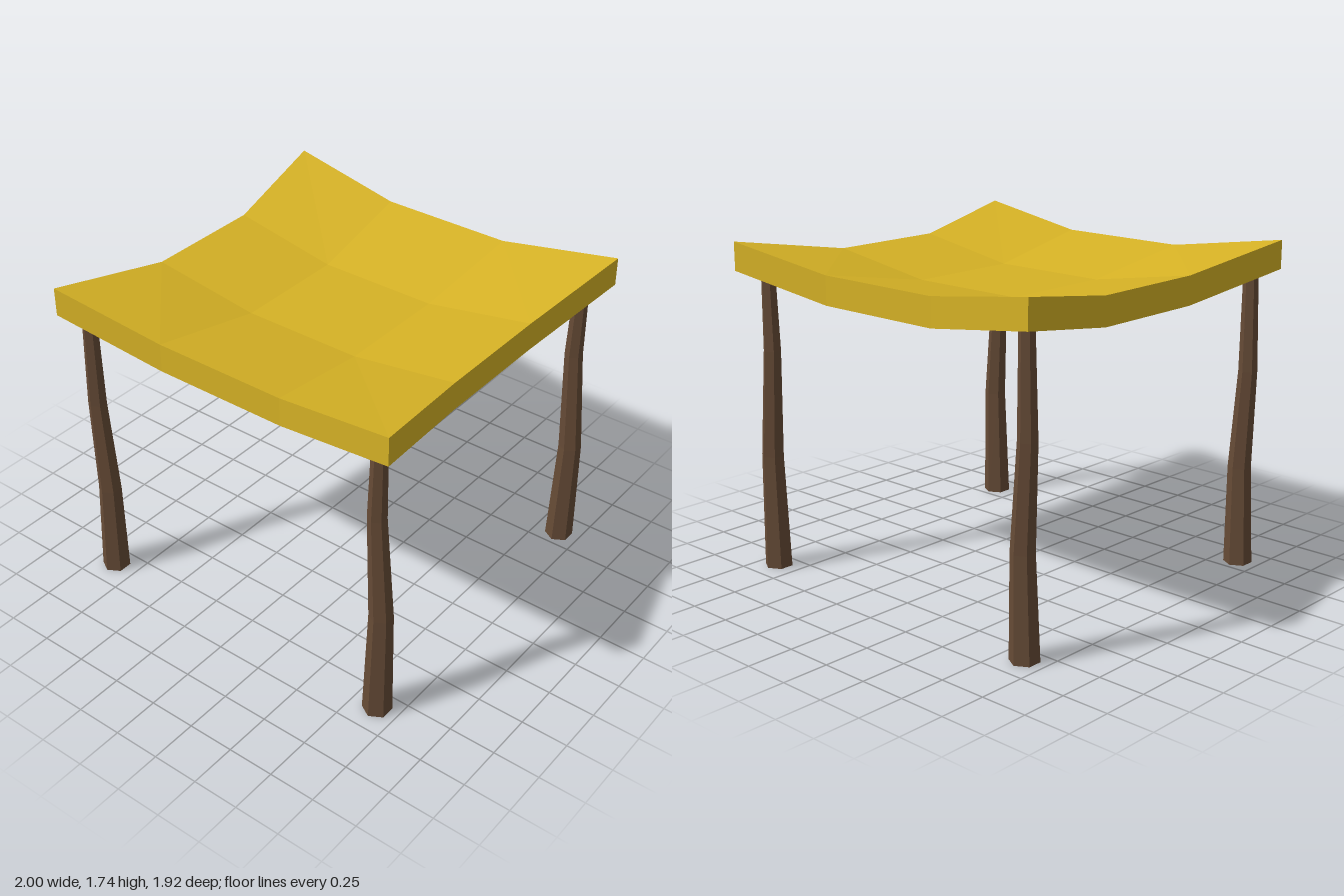
import * as THREE from 'three';

const canopyYellow = new THREE.MeshStandardMaterial({ color: 0xd6b225, flatShading: true });
canopyYellow.name = 'canopyYellow';
const woodBrown = new THREE.MeshStandardMaterial({ color: 0x664b36, flatShading: true });
woodBrown.name = 'woodBrown';

const SKIRT = 0.15; // depth of the hanging edge
const RIM = 0.05;   // width of the hanging edge
const SHEET = 0.03; // thickness of the sagging sheet

// 4 x 4 grid point of the sagging sheet, optionally pulled in at the border and dropped
function gridPoint(i, j, inset = 0, drop = 0) {
  const edgeX = i === 0 || i === 3, edgeZ = j === 0 || j === 3;
  let x = edgeX ? (edgeZ ? 1 : 0.9) : (edgeZ ? 0.36 : 0.32);
  let z = edgeZ ? (edgeX ? 0.96 : 0.91) : (edgeX ? 0.32 : 0.305);
  const y = 1.74 - (edgeX ? 0 : 0.095) - (edgeZ ? 0 : 0.105);
  if (edgeX) x -= inset;
  if (edgeZ) z -= inset;
  return [i < 2 ? -x : x, y - drop, j < 2 ? -z : z];
}

function canopyGeometry() {
  const pos = [];
  const quad = (a, b, c, d) => pos.push(...a, ...b, ...c, ...a, ...c, ...d);

  // upper and lower faces of the sheet
  for (let i = 0; i < 3; i++) {
    for (let j = 0; j < 3; j++) {
      quad(gridPoint(i, j), gridPoint(i, j + 1), gridPoint(i + 1, j + 1), gridPoint(i + 1, j));
      const under = (a, b) => gridPoint(a, b, RIM, SHEET);
      quad(under(i, j), under(i + 1, j), under(i + 1, j + 1), under(i, j + 1));
    }
  }

  // hanging edge: outer wall, bottom rim and inner wall
  const loop = [];
  for (let k = 0; k < 3; k++) loop.push([k, 3]);
  for (let k = 3; k > 0; k--) loop.push([3, k]);
  for (let k = 3; k > 0; k--) loop.push([k, 0]);
  for (let k = 0; k < 3; k++) loop.push([0, k]);
  loop.forEach((p, n) => {
    const q = loop[(n + 1) % loop.length];
    const outer = (c) => gridPoint(...c, 0, SKIRT);
    const inner = (c) => gridPoint(...c, RIM, SKIRT);
    const under = (c) => gridPoint(...c, RIM, SHEET);
    quad(outer(p), outer(q), gridPoint(...q), gridPoint(...p));
    quad(outer(p), inner(p), inner(q), outer(q));
    quad(inner(q), inner(p), under(p), under(q));
  });

  const geo = new THREE.BufferGeometry();
  geo.setAttribute('position', new THREE.Float32BufferAttribute(pos, 3));
  geo.computeVertexNormals();
  return geo;
}

// Crooked six-sided post; each ring is [y, centre x, radius], bottom to top
function postGeometry(rings) {
  const geo = new THREE.CylinderGeometry(1, 1, 2, 6, rings.length - 1);
  const p = geo.attributes.position;
  for (let i = 0; i < p.count; i++) {
    const n = Math.round((p.getY(i) + 1) / 2 * (rings.length - 1));
    const [y, cx, r] = rings[n];
    p.setXYZ(i, cx + p.getX(i) * r, y, p.getZ(i) * r);
  }
  geo.computeVertexNormals();
  return geo;
}

export function createModel() {
  const model = new THREE.Group();
  model.name = 'canopyShelter';

  const canopy = new THREE.Mesh(canopyGeometry(), canopyYellow);
  canopy.name = 'canopy';
  model.add(canopy);

  // posts: both sides lean the same way, with kinks at different heights
  const sides = {
    Right: [[0, -0.885, 0.075], [0.53, -0.872, 0.061], [1.06, -0.9, 0.049], [1.66, -0.893, 0.037]],
    Left: [[0, 0.885, 0.075], [0.61, 0.898, 0.06], [1.18, 0.866, 0.047], [1.66, 0.876, 0.037]],
  };
  for (const [side, rings] of Object.entries(sides)) {
    const geo = postGeometry(rings);
    for (const end of [1, -1]) {
      const post = new THREE.Mesh(geo, woodBrown);
      post.name = (end > 0 ? 'front' : 'back') + side + 'Post';
      post.position.z = end * 0.85;
      model.add(post);
    }
  }
  return model;
}
